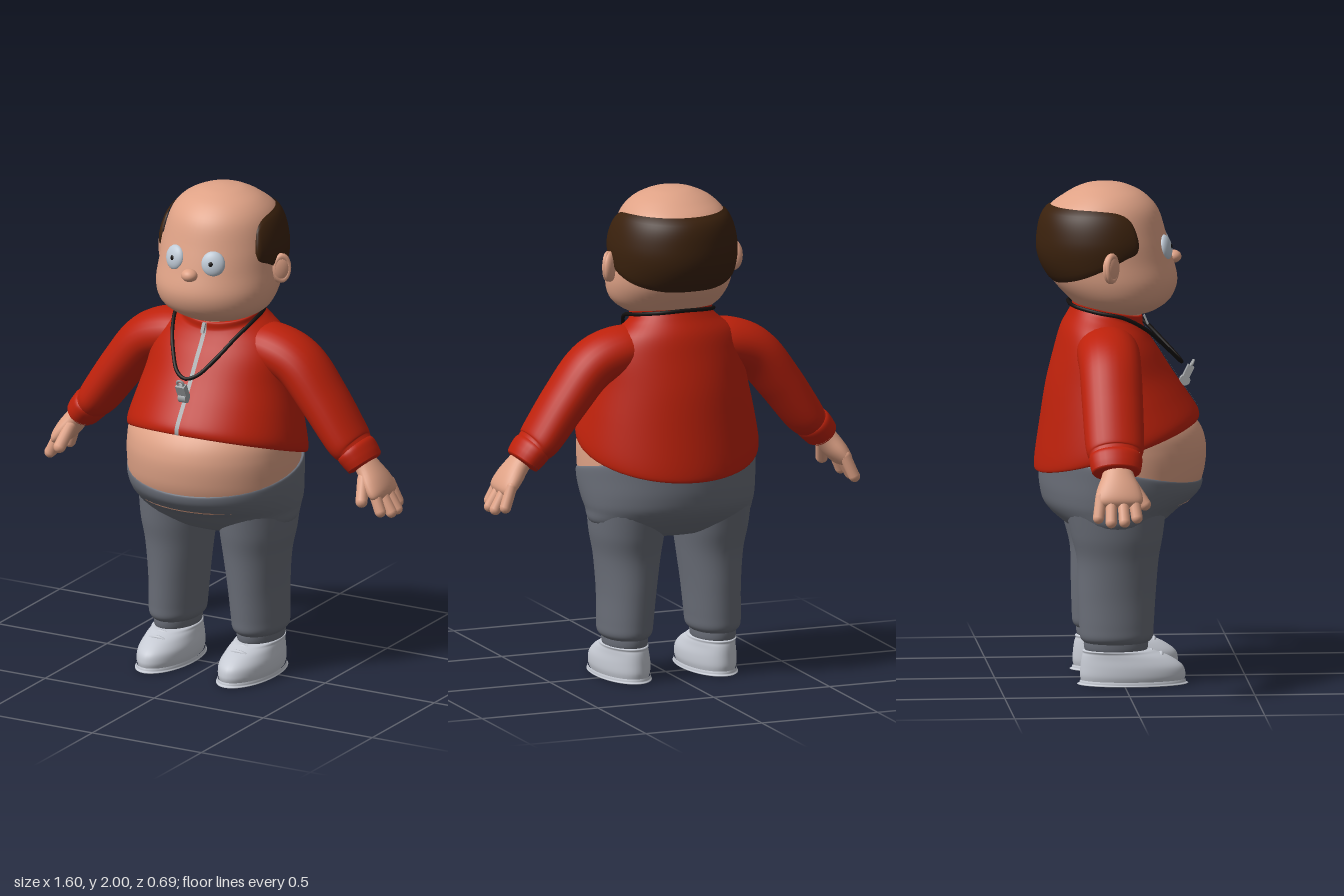
import * as THREE from 'three';

const mat = (name, color) => Object.assign(new THREE.MeshStandardMaterial({ color }), { name });

// Smooth interpolation through a list of equally long number rows, t in 0..1
function sample(rows, t) {
  const n = rows.length - 1, f = Math.min(Math.max(t, 0), 1) * n, i = Math.min(Math.floor(f), n - 1), s = f - i;
  const at = k => rows[Math.min(Math.max(k, 0), n)];
  return rows[i].map((_, c) => {
    const [a, b, d, e] = [at(i - 1)[c], at(i)[c], at(i + 1)[c], at(i + 2)[c]];
    return b + 0.5 * s * (d - a + s * (2 * a - 5 * b + 4 * d - e + s * (3 * (b - d) + e - a)));
  });
}

// Surface grid from fn(u, v); u may wrap round without a seam
function grid(fn, nu, nv, wrap = true) {
  const cols = wrap ? nu : nu + 1, pos = [], idx = [];
  for (let j = 0; j <= nv; j++) for (let i = 0; i < cols; i++) pos.push(...fn(i / nu, j / nv));
  for (let j = 0; j < nv; j++) for (let i = 0; i < nu; i++) {
    const a = j * cols + i, b = j * cols + (i + 1) % cols, c = a + cols, d = b + cols;
    idx.push(a, b, c, b, d, c);
  }
  const g = new THREE.BufferGeometry();
  g.setAttribute('position', new THREE.Float32BufferAttribute(pos, 3));
  g.setIndex(idx);
  g.computeVertexNormals();
  return g;
}

// Upright body: rows of [y, centre z, radius x, radius z, tilt, centre x]
function ringPoint([y, zc, rx, rz, tilt = 0, cx = 0], a) {
  const dz = rz * Math.cos(a);
  return [cx + rx * Math.sin(a), y + tilt * dz, zc + dz];
}
const body = (rows, nu = 48, nv = 48) =>
  grid((u, v) => ringPoint(sample(rows, v), u * Math.PI * 2), nu, nv);

// Limb lying in the xy plane: rows of [x, y, thickness, depth]
const limb = (rows, z, nv = 40) => grid((u, v) => {
  const [x, y, a, b] = sample(rows, v), p = sample(rows, v - 0.02), q = sample(rows, v + 0.02);
  const l = Math.hypot(q[0] - p[0], q[1] - p[1]), nx = -(q[1] - p[1]) / l, ny = (q[0] - p[0]) / l;
  const c = Math.cos(u * Math.PI * 2) * a;
  return [x + nx * c, y + ny * c, z + b * Math.sin(u * Math.PI * 2)];
}, 28, nv);

function capsule(from, to, r) {
  const a = new THREE.Vector3(...from), b = new THREE.Vector3(...to), d = b.clone().sub(a);
  const q = new THREE.Quaternion().setFromUnitVectors(new THREE.Vector3(0, 1, 0), d.clone().normalize());
  return new THREE.CapsuleGeometry(r, d.length(), 6, 12).applyQuaternion(q).translate(...a.add(b).multiplyScalar(0.5));
}

const blob = (x, y, z, rx, ry, rz) => new THREE.SphereGeometry(1, 28, 20).scale(rx, ry, rz).translate(x, y, z);
const turn = (g, rx, ry, x, y, z) => g.rotateX(rx).rotateY(ry).translate(x, y, z);
const tube = (pts, r, closed = false) => new THREE.TubeGeometry(
  new THREE.CatmullRomCurve3(pts.map(p => new THREE.Vector3(...p)), closed), closed ? 80 : 16, r, 8, closed);

function mirrored(geo) {
  const g = geo.clone().scale(-1, 1, 1), ix = g.index;
  for (let i = 0; i < ix.count; i += 3) {
    const b = ix.getX(i + 1);
    ix.setX(i + 1, ix.getX(i + 2));
    ix.setX(i + 2, b);
  }
  return g;
}

export function createModel() {
  const skin = mat('skin', 0xdfa286), red = mat('red jacket', 0xbd210b), grey = mat('grey trousers', 0x6a6e78);
  const hairMat = mat('brown hair', 0x3a210d), white = mat('shoe white', 0xc6cad3), eyeMat = mat('eye white', 0xbfcad6);
  const black = mat('black', 0x14100f), silver = mat('silver', 0xa3a6a8);
  const model = new THREE.Group();
  const add = (name, geo, m) => {
    const mesh = new THREE.Mesh(geo, m);
    mesh.name = name;
    model.add(mesh);
  };
  const pair = (name, geo, m) => {
    add('left' + name, geo, m);
    add('right' + name, mirrored(geo), m);
  };

  // Head
  const headRows = [
    [1.462, 0, 0.001, 0.001], [1.472, 0, 0.1, 0.1], [1.497, 0, 0.175, 0.16], [1.54, 0, 0.228, 0.208],
    [1.61, -0.02, 0.25, 0.25], [1.7, -0.05, 0.248, 0.26], [1.79, -0.065, 0.24, 0.25], [1.89, -0.07, 0.213, 0.223],
    [1.95, -0.06, 0.163, 0.16], [1.985, -0.06, 0.095, 0.094], [1.997, -0.06, 0.04, 0.04], [2, -0.06, 0.001, 0.001]];
  add('head', body(headRows, 56, 60), skin);
  add('neck', new THREE.CylinderGeometry(0.13, 0.14, 0.16, 32).translate(0, 1.47, -0.05), skin);
  add('nose', blob(0, 1.694, 0.215, 0.034, 0.026, 0.032), skin);

  // Ears, flaring backwards
  pair('Ear', turn(blob(0, 0, 0, 0.045, 0.062, 0.024), 0, 0.75, 0.262, 1.69, -0.055), skin);
  pair('EarRim', turn(new THREE.TorusGeometry(0.037, 0.011, 8, 24).scale(0.8, 1.3, 1), 0, 0.75, 0.272, 1.692, -0.052), skin);

  // Hair: a band hugging the sides and back of the head
  const headAt = y => {
    let lo = 0, hi = 1;
    for (let k = 0; k < 24; k++) {
      const m = (lo + hi) / 2;
      if (sample(headRows, m)[0] < y) lo = m; else hi = m;
    }
    return sample(headRows, lo);
  };
  const half = [[1.07, 1.775, 1.81], [1.14, 1.742, 1.868], [1.35, 1.72, 1.9], [1.75, 1.675, 1.911],
    [2.2, 1.635, 1.913], [2.7, 1.612, 1.913]];
  const hairRows = [...half, [Math.PI, 1.61, 1.913], ...half.map(([a, b, c]) => [Math.PI * 2 - a, b, c]).reverse()];
  add('hair', grid((u, v) => {
    const [a, low, high] = sample(hairRows, u), r = headAt(low + (high - low) * v);
    const edge = Math.sin(Math.PI * v) * Math.min(1, 12 * u, 12 * (1 - u));
    const lift = 0.003 + 0.015 * Math.sqrt(Math.max(0, edge));
    return ringPoint([r[0], r[1], r[2] + lift, r[3] + lift], a);
  }, 80, 24, false), hairMat);

  // Eyes with small pupils
  const eyePose = g => turn(g, -0.2, 0.35, 0.087, 1.745, 0.176);
  pair('Eye', eyePose(blob(0, 0, 0, 0.048, 0.051, 0.024)), eyeMat);
  pair('Pupil', eyePose(blob(-0.007, 0, 0.0235, 0.009, 0.01, 0.003)), black);

  // Belly
  add('belly', body([[0.72, 0.01, 0.32, 0.27], [0.79, 0.012, 0.348, 0.308], [0.86, 0.015, 0.354, 0.325],
    [0.95, 0.015, 0.355, 0.328], [1.03, 0.005, 0.345, 0.307], [1.12, -0.02, 0.3, 0.25]]), skin);

  // Jacket with slanted hem and collar
  const jacket = [
    [0.957, -0.012, 0.345, 0.305, 0.32], [0.947, -0.012, 0.367, 0.327, 0.32], [0.99, -0.015, 0.37, 0.325, 0.3],
    [1.1, -0.03, 0.346, 0.29, 0.22], [1.22, -0.045, 0.315, 0.25, 0.1], [1.33, -0.055, 0.295, 0.207, 0],
    [1.4, -0.06, 0.26, 0.177, -0.1], [1.45, -0.055, 0.2, 0.15, -0.2], [1.475, -0.05, 0.172, 0.14, -0.28],
    [1.5, -0.05, 0.169, 0.139, -0.28], [1.497, -0.05, 0.145, 0.118, -0.28]];
  add('jacket', body(jacket, 56, 70), red);
  add('zip', grid((u, v) => {
    const p = ringPoint(sample(jacket, 0.1 + 0.8 * v), 0);
    return [(u - 0.5) * 0.018, p[1], p[2] + 0.004];
  }, 1, 50, false), silver);
  add('zipPull', new THREE.BoxGeometry(0.014, 0.04, 0.008).rotateX(-0.4).translate(0, 1.44, 0.105), silver);

  // Sleeves and cuffs
  pair('Sleeve', limb([[0.1, 1.36, 0.08, 0.11], [0.23, 1.345, 0.1, 0.125], [0.35, 1.295, 0.098, 0.124],
    [0.46, 1.165, 0.091, 0.122], [0.565, 1.02, 0.08, 0.117], [0.6, 0.985, 0.068, 0.104]], -0.065), red);
  pair('Cuff', limb([[0.588, 1.0, 0.06, 0.09], [0.603, 0.982, 0.072, 0.106], [0.625, 0.956, 0.071, 0.104],
    [0.643, 0.933, 0.066, 0.098]], -0.065, 20), red);
  pair('CuffEnd', limb([[0.643, 0.933, 0.066, 0.098], [0.649, 0.926, 0.055, 0.082], [0.653, 0.921, 0.001, 0.001]], -0.065, 8), red);

  // Hands
  pair('Hand', limb([[0.62, 0.963, 0.042, 0.055], [0.66, 0.92, 0.043, 0.064], [0.7, 0.868, 0.044, 0.088],
    [0.73, 0.828, 0.036, 0.094], [0.742, 0.81, 0.02, 0.07], [0.746, 0.803, 0.001, 0.001]], -0.06, 24), skin);
  [[-0.145, 0.752, 0.765], [-0.096, 0.775, 0.75], [-0.043, 0.778, 0.752], [0.008, 0.757, 0.765]].forEach(([z, x, y], i) =>
    pair('Finger' + (i + 1), capsule([0.72, 0.845, -0.06 + (z + 0.06) * 0.85], [x, y, z], 0.023), skin));
  pair('Thumb', capsule([0.672, 0.885, -0.005], [0.692, 0.808, 0.045], 0.025), skin);

  // Trousers: seat, legs and gathered ankles
  add('trouserSeat', body([[0.575, -0.03, 0.001, 0.001, 0], [0.588, -0.03, 0.2, 0.11, 0], [0.64, -0.03, 0.325, 0.2, 0],
    [0.7, -0.03, 0.346, 0.268, -0.02], [0.75, -0.018, 0.356, 0.302, -0.08], [0.81, -0.003, 0.362, 0.322, -0.15],
    [0.862, 0.002, 0.363, 0.328, -0.2], [0.87, 0.002, 0.352, 0.318, -0.2], [0.86, 0.002, 0.33, 0.3, -0.2]]), grey);
  pair('TrouserLeg', body([[0.165, -0.03, 0.08, 0.12, 0, 0.19], [0.19, -0.028, 0.103, 0.144, 0, 0.19],
    [0.24, -0.028, 0.108, 0.149, 0, 0.188], [0.36, -0.026, 0.115, 0.155, 0, 0.182], [0.5, -0.022, 0.131, 0.163, 0, 0.178],
    [0.6, -0.025, 0.147, 0.183, 0, 0.18], [0.7, -0.03, 0.155, 0.2, 0, 0.18]], 36), grey);
  pair('TrouserCuff', body([[0.135, -0.03, 0.07, 0.11, 0, 0.19], [0.14, -0.03, 0.083, 0.124, 0, 0.19],
    [0.165, -0.03, 0.086, 0.129, 0, 0.19], [0.2, -0.03, 0.084, 0.126, 0, 0.19]], 36, 16), grey);

  // Shoes, soles and laces
  pair('Shoe', body([[0.015, 0.037, 0.097, 0.206, 0, 0.186], [0.04, 0.037, 0.103, 0.211, 0, 0.186],
    [0.075, 0.032, 0.102, 0.204, 0, 0.186], [0.107, 0.012, 0.094, 0.18, 0, 0.187], [0.128, -0.01, 0.088, 0.152, 0, 0.188],
    [0.142, -0.03, 0.08, 0.122, 0, 0.19], [0.143, -0.03, 0.001, 0.001, 0, 0.19]], 40, 36), white);
  pair('Sole', body([[0, 0.037, 0.001, 0.001, 0, 0.186], [0, 0.037, 0.098, 0.205, 0, 0.186],
    [0.009, 0.037, 0.105, 0.213, 0, 0.186], [0.02, 0.037, 0.103, 0.21, 0, 0.186]], 40, 15), white);
  [[0.07, 0.134], [0.108, 0.128], [0.148, 0.117]].forEach(([z, y], i) =>
    pair('Lace' + (i + 1), tube([[0.128, y - 0.03, z - 0.012], [0.155, y - 0.002, z], [0.187, y + 0.006, z + 0.004],
      [0.219, y - 0.002, z], [0.246, y - 0.03, z - 0.012]], 0.008), white));

  // Whistle on a neck cord
  const side = [[0.045, 1.285, 0.233], [0.095, 1.343, 0.178], [0.143, 1.418, 0.1], [0.176, 1.475, 0],
    [0.165, 1.495, -0.1], [0.1, 1.512, -0.185]];
  add('cord', tube([[0, 1.268, 0.248], ...side, [0, 1.518, -0.205],
    ...side.map(([x, y, z]) => [-x, y, z]).reverse()], 0.008, true), black);
  const hang = g => g.rotateX(0.45).translate(0, 1.215, 0.268);
  add('whistleClip', hang(new THREE.TorusGeometry(0.014, 0.005, 8, 16).translate(0, 0.05, 0)), silver);
  add('whistleMouthpiece', hang(new THREE.BoxGeometry(0.04, 0.05, 0.026).translate(0, 0.015, 0)), silver);
  add('whistleBarrel', hang(new THREE.CylinderGeometry(0.021, 0.021, 0.034, 20).rotateZ(Math.PI / 2).translate(0, -0.022, 0.002)), silver);
  return model;
}
